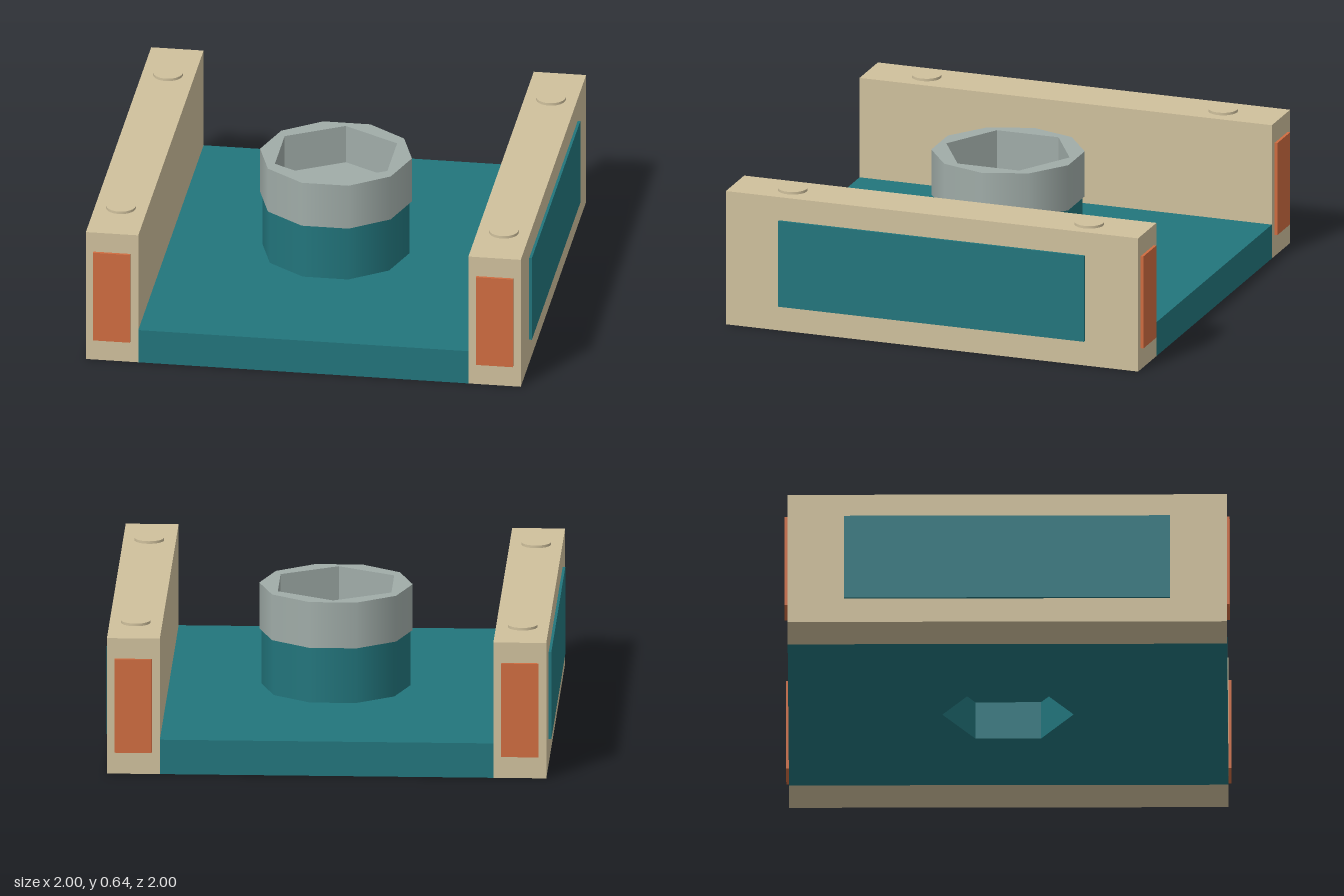
import * as THREE from 'three';

const mat = (color, side = THREE.FrontSide) => new THREE.MeshStandardMaterial({ color, side });
const TEAL = 0x22757c, TAN = 0xcfc09c, ORANGE = 0xcf6c40, GREY = 0xa0aca8;
const HEX = 0.295; // hexagonal socket radius, corners on the z axis

function add(parent, name, geometry, material, x = 0, y = 0, z = 0) {
  const mesh = new THREE.Mesh(geometry, material);
  mesh.name = name;
  mesh.position.set(x, y, z);
  parent.add(mesh);
  return mesh;
}

// Corner points of a regular polygon
function polygon(radius, sides, start) {
  return Array.from({ length: sides }, (_, i) => {
    const a = start + (i / sides) * Math.PI * 2;
    return new THREE.Vector2(Math.cos(a) * radius, Math.sin(a) * radius);
  });
}

// Inside walls of a hexagonal socket, flat faced
function socketWalls(height) {
  return new THREE.CylinderGeometry(HEX, HEX, height, 6, 1, true).toNonIndexed();
}

function socketMaterial(color) {
  const m = mat(color, THREE.BackSide);
  m.flatShading = true;
  return m;
}

export function createModel() {
  const model = new THREE.Group();
  model.name = 'railedBase';

  // Base plate with a hexagonal opening underneath
  const plate = new THREE.Shape([
    new THREE.Vector2(-0.75, -0.987), new THREE.Vector2(0.75, -0.987),
    new THREE.Vector2(0.75, 0.987), new THREE.Vector2(-0.75, 0.987),
  ]);
  plate.holes.push(new THREE.Path(polygon(HEX, 6, Math.PI / 2)));
  const plateGeometry = new THREE.ExtrudeGeometry(plate, { depth: 0.16, bevelEnabled: false });
  plateGeometry.rotateX(-Math.PI / 2);
  add(model, 'basePlate', plateGeometry, mat(TEAL));
  const ceiling = new THREE.ShapeGeometry(new THREE.Shape(polygon(HEX, 6, Math.PI / 2)));
  add(model, 'lowerSocketCeiling', ceiling.clone().rotateX(Math.PI / 2), mat(TEAL), 0, 0.18, 0);
  add(model, 'lowerSocketWalls', socketWalls(0.03), socketMaterial(TEAL), 0, 0.165, 0);

  // Ten-sided post
  add(model, 'post', new THREE.CylinderGeometry(0.335, 0.335, 0.26, 10, 1, true, Math.PI / 2),
    mat(TEAL), 0, 0.29, 0);

  // Collar with a hexagonal socket in its top
  const collar = new THREE.Group();
  collar.name = 'collar';
  model.add(collar);
  add(collar, 'collarWall', new THREE.CylinderGeometry(0.345, 0.345, 0.213, 10, 1, true, Math.PI / 2),
    mat(GREY), 0, 0.5235, 0);
  const rim = new THREE.Shape(polygon(0.345, 10, 0));
  add(collar, 'collarUnderside', new THREE.ShapeGeometry(rim).rotateX(Math.PI / 2),
    mat(GREY), 0, 0.417, 0);
  rim.holes.push(new THREE.Path(polygon(HEX, 6, Math.PI / 2)));
  add(collar, 'collarRim', new THREE.ShapeGeometry(rim).rotateX(-Math.PI / 2), mat(GREY), 0, 0.63, 0);
  add(collar, 'upperSocketWalls', socketWalls(0.18), socketMaterial(GREY), 0, 0.54, 0);
  add(collar, 'upperSocketFloor', ceiling.clone().rotateX(-Math.PI / 2), mat(GREY), 0, 0.45, 0);

  // Side rails with inset panels and round caps
  for (const s of [1, -1]) {
    const rail = new THREE.Group();
    rail.name = s > 0 ? 'leftRail' : 'rightRail';
    model.add(rail);
    add(rail, 'railBody', new THREE.BoxGeometry(0.238, 0.63, 1.974), mat(TAN), s * 0.869, 0.315, 0);
    add(rail, 'sidePanel', new THREE.BoxGeometry(0.04, 0.405, 1.464), mat(TEAL), s * 0.98, 0.318, 0);
    for (const e of [1, -1]) {
      add(rail, 'endPanel', new THREE.BoxGeometry(0.168, 0.435, 0.04), mat(ORANGE),
        s * 0.87, 0.318, e * 0.98);
      add(rail, 'roundCap', new THREE.CylinderGeometry(0.067, 0.067, 0.03, 24), mat(TAN),
        s * 0.87, 0.627, e * 0.71);
    }
  }
  return model;
}
